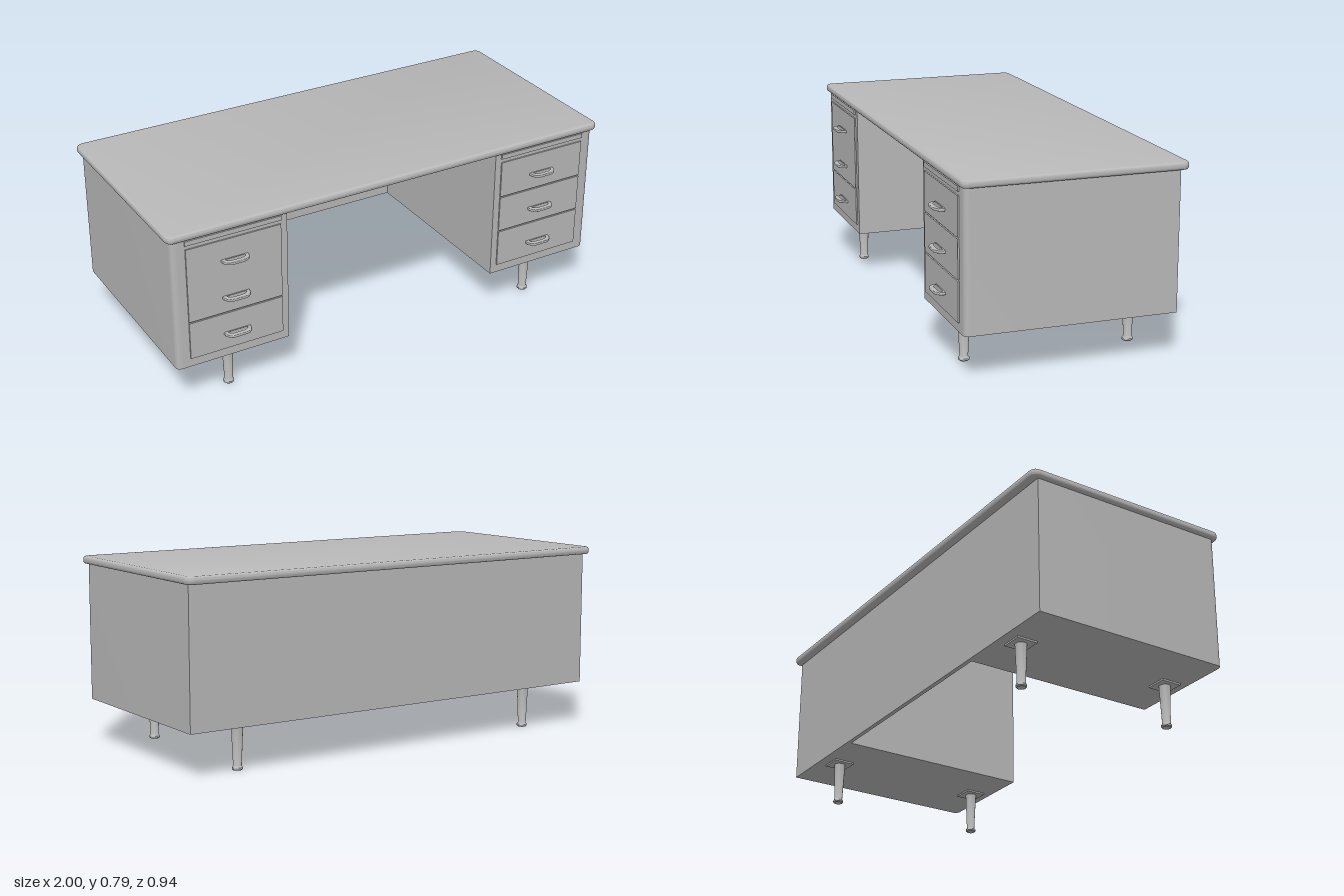
import * as THREE from 'three';
import { toCreasedNormals } from 'three/addons/utils/BufferGeometryUtils.js';

const paint = new THREE.MeshStandardMaterial({ color: 0xb8b8b8 });
paint.name = 'grey paint';

function add(parent, name, geometry, x = 0, y = 0, z = 0) {
  const mesh = new THREE.Mesh(geometry, paint);
  mesh.name = name;
  mesh.position.set(x, y, z);
  parent.add(mesh);
  return mesh;
}

// Extrudes a floor-plan shape (x, z) downwards from y = top to y = bottom.
function slab(shape, bottom, top, bevel = 0) {
  const g = new THREE.ExtrudeGeometry(shape, {
    depth: top - bottom - 2 * bevel, bevelEnabled: bevel > 0, bevelSize: bevel,
    bevelThickness: bevel, bevelSegments: 4, curveSegments: 8
  });
  g.rotateX(Math.PI / 2);
  g.translate(0, top - bevel, 0);
  return toCreasedNormals(g, 0.6);
}

// Plan of the desktop with rounded corners.
function desktopPlan(hx, z0, z1, r) {
  const s = new THREE.Shape();
  s.moveTo(-hx + r, z0);
  s.lineTo(hx - r, z0);
  s.quadraticCurveTo(hx, z0, hx, z0 + r);
  s.lineTo(hx, z1 - r);
  s.quadraticCurveTo(hx, z1, hx - r, z1);
  s.lineTo(-hx + r, z1);
  s.quadraticCurveTo(-hx, z1, -hx, z1 - r);
  s.lineTo(-hx, z0 + r);
  s.quadraticCurveTo(-hx, z0, -hx + r, z0);
  return s;
}

// U-shaped plan: two pedestals joined by the back panel.
function bodyPlan() {
  const x = 0.98, inner = 0.488, back = -0.438, knee = -0.42, front = 0.427, r = 0.025;
  const s = new THREE.Shape();
  s.moveTo(-x, back);
  s.lineTo(x, back);
  s.lineTo(x, front - r);
  s.quadraticCurveTo(x, front, x - r, front);
  s.lineTo(inner, front);
  s.lineTo(inner, knee);
  s.lineTo(-inner, knee);
  s.lineTo(-inner, front);
  s.lineTo(-x + r, front);
  s.quadraticCurveTo(-x, front, -x, front - r);
  s.closePath();
  return s;
}

// Flat loop pull, wide at the drawer and narrowing outwards.
function pullGeometry() {
  const arc = (path, w, z0, d) => {
    path.moveTo(-w, z0);
    path.bezierCurveTo(-w, z0 + d * 0.75, -w * 0.65, z0 + d, -w * 0.4, z0 + d);
    path.lineTo(w * 0.4, z0 + d);
    path.bezierCurveTo(w * 0.65, z0 + d, w, z0 + d * 0.75, w, z0);
    path.closePath();
    return path;
  };
  const s = arc(new THREE.Shape(), 0.055, 0.003, 0.036);
  s.holes.push(arc(new THREE.Path(), 0.042, 0.008, 0.017));
  return slab(s, -0.006, 0.006, 0.003);
}

// Turned leg with a collar foot.
function legGeometry() {
  const profile = [[0, 0], [0.018, 0], [0.022, 0.004], [0.022, 0.011], [0.018, 0.016],
    [0.017, 0.018], [0.024, 0.181], [0, 0.181]];
  const g = new THREE.LatheGeometry(profile.map(p => new THREE.Vector2(...p)), 24);
  return toCreasedNormals(g, 0.6);
}

export function createModel() {
  const desk = new THREE.Group();
  desk.name = 'desk';

  add(desk, 'desktop', slab(desktopPlan(0.988, -0.46, 0.43, 0.022), 0.755, 0.787, 0.012));
  add(desk, 'body', slab(bodyPlan(), 0.187, 0.756));

  const pull = pullGeometry();
  const leg = legGeometry();
  const rows = {
    '-1': [[0.225, 0.386], [0.392, 0.714]],
    '1': [[0.225, 0.386], [0.392, 0.549], [0.555, 0.714]]
  };

  for (const side of [-1, 1]) {
    const name = side > 0 ? 'left' : 'right';
    const pedestal = new THREE.Group();
    pedestal.name = name + 'Pedestal';
    desk.add(pedestal);
    const cx = side * 0.72;

    // Drawer fronts
    for (const [y0, y1] of rows[side]) {
      add(pedestal, 'drawerFront', new THREE.BoxGeometry(0.406, y1 - y0, 0.012), cx, (y0 + y1) / 2, 0.427);
    }
    // Pull-out writing board
    add(pedestal, 'writingBoard', new THREE.BoxGeometry(0.41, 0.02, 0.016), cx, 0.741, 0.426);
    // Handles
    for (const y of [0.295, 0.46, 0.624]) add(pedestal, 'handle', pull, cx, y, 0.43);
    // Legs with mounting plates
    for (const z of [0.344, -0.349]) {
      add(pedestal, 'leg', leg, side * 0.725, 0, z);
      add(pedestal, 'legPlate', new THREE.BoxGeometry(0.09, 0.008, 0.09), side * 0.725, 0.184, z);
    }
  }
  return desk;
}
